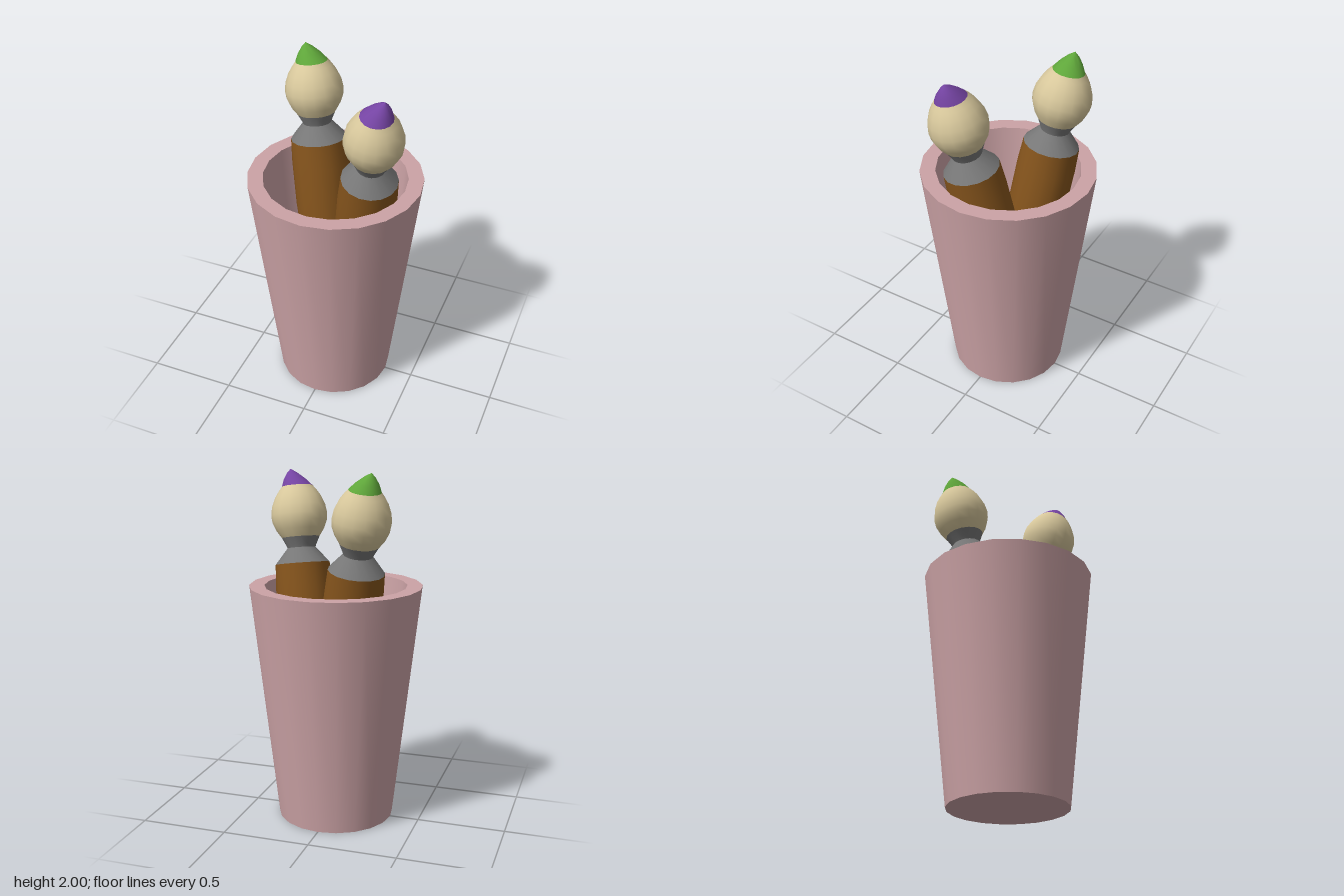
import * as THREE from 'three';
import { toCreasedNormals } from 'three/addons/utils/BufferGeometryUtils.js';

const SIDES = 16;

// Revolved part; bend(vertex) may move its vertices sideways
function turned(name, profile, color, sides = SIDES, bend = null) {
  const points = profile.map(([r, y]) => new THREE.Vector2(r, y));
  const geometry = new THREE.LatheGeometry(points, sides);
  if (bend) {
    const pos = geometry.attributes.position;
    const v = new THREE.Vector3();
    for (let i = 0; i < pos.count; i++) {
      v.fromBufferAttribute(pos, i);
      bend(v);
      pos.setXYZ(i, v.x, v.y, v.z);
    }
  }
  const mesh = new THREE.Mesh(
    toCreasedNormals(geometry, 0.6),
    new THREE.MeshStandardMaterial({ color })
  );
  mesh.name = name;
  return mesh;
}

// Brush with its origin at the top of the handle, leaning along (leanX, 1, leanZ)
function makeBrush(name, origin, [leanX, leanZ], [tipX, tipZ], tipColor) {
  const brush = new THREE.Group();
  brush.name = name;

  // Handle: swells below the ferrule, then tapers to the foot
  brush.add(turned('handle', [
    [0, -1.39], [0.09, -1.39], [0.122, -1.05], [0.15, -0.72],
    [0.163, -0.4], [0.162, -0.14], [0.155, 0],
  ], 0x85541c));

  // Ferrule: cone to a narrow neck, then a flared collar
  brush.add(turned('ferrule', [
    [0.155, 0], [0.08, 0.09], [0.086, 0.105], [0.108, 0.15],
  ], 0x777777));

  // Egg-shaped bristles
  brush.add(turned('bristles', [
    [0.108, 0.15], [0.138, 0.195], [0.156, 0.24], [0.16, 0.28],
    [0.152, 0.33], [0.131, 0.38], [0.108, 0.415], [0.088, 0.44],
  ], 0xd8c89c));

  // Painted tip, its point pulled to one side
  const base = 0.44, top = 0.54;
  brush.add(turned('paintedTip', [
    [0.088, base], [0.062, 0.48], [0.03, 0.516], [0, top],
  ], tipColor, SIDES, (v) => {
    const k = (v.y - base) / (top - base);
    v.x += tipX * k;
    v.z += tipZ * k;
  }));

  brush.position.set(...origin);
  brush.quaternion.setFromUnitVectors(
    new THREE.Vector3(0, 1, 0),
    new THREE.Vector3(leanX, 1, leanZ).normalize()
  );
  return brush;
}

export function createModel() {
  const model = new THREE.Group();
  model.name = 'brushCup';

  // Tapered cup with thick walls and a floor
  model.add(turned('cup', [
    [0, 0], [0.333, 0], [0.486, 1.355], [0.4, 1.355], [0.305, 0.1], [0, 0.1],
  ], 0xcca3a6, 20));

  model.add(makeBrush('purpleBrush', [0.23, 1.45, 0.09], [0.13, 0.175], [0.03, -0.01], 0x7544a3));
  model.add(makeBrush('greenBrush', [-0.17, 1.47, -0.17], [-0.14, -0.13], [-0.025, 0], 0x5fa63a));

  return model;
}
